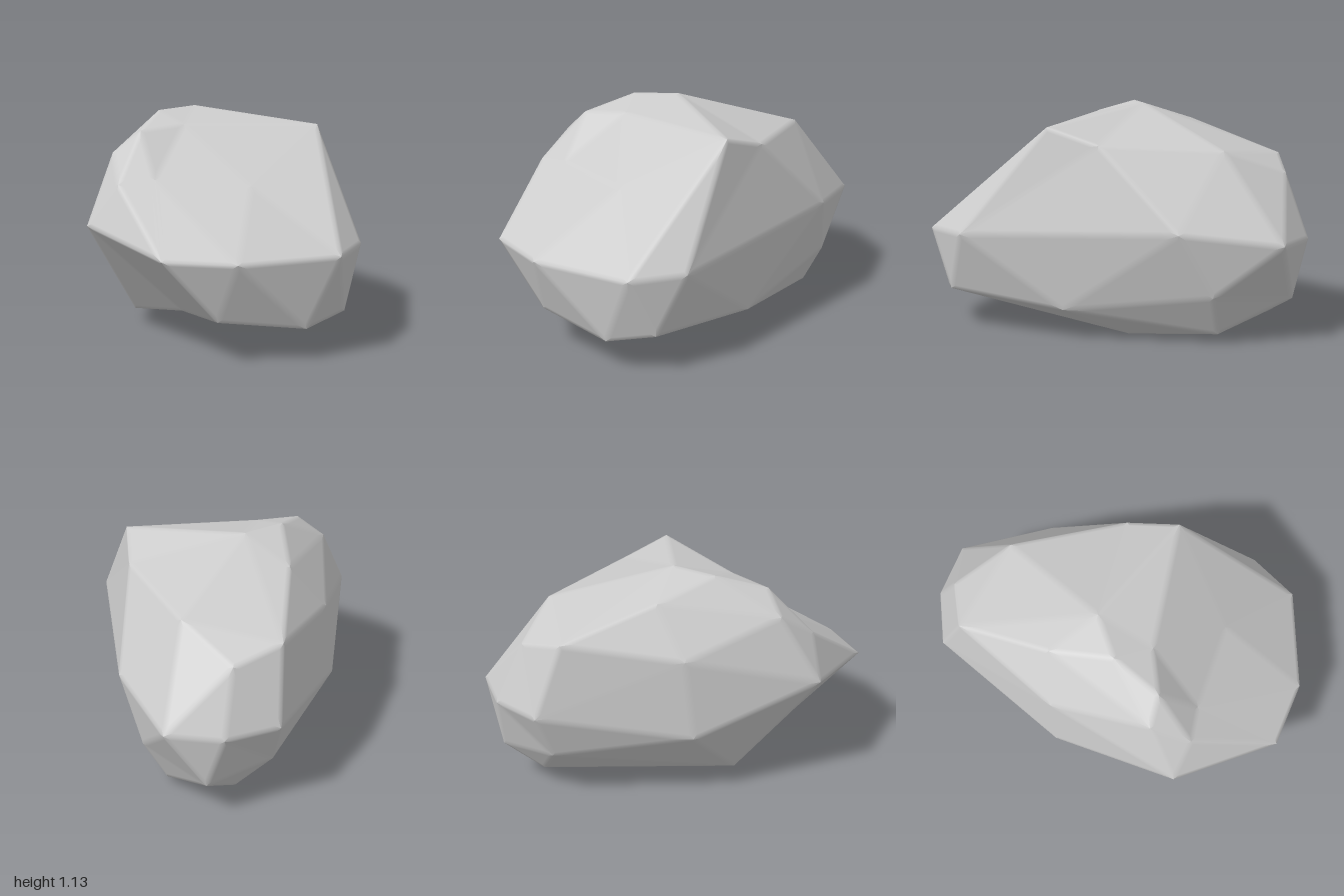
import * as THREE from 'three';
import { ConvexGeometry } from 'three/addons/geometries/ConvexGeometry.js';

// Corners of the boulder, in loops from the ground up (x, y, z)
const foot = [
  [0.4, 0, -0.13], [0.45, 0.05, -0.6], [0.13, 0.1, -0.79], [0.13, 0.03, -0.02], [-0.38, 0.08, 0.07],
];
const lower = [
  [0.55, 0.21, 0.78], [0.33, 0.16, 0.89], [-0.1, 0.21, 0.88], [-0.22, 0.2, 0.6],
  [-0.05, 0.27, -0.83], [0.29, 0.22, -0.94], [0.565, 0.26, -0.6], [0.62, 0.16, 0.15],
];
const girth = [
  [0.66, 0.52, 0.68], [0.49, 0.51, 0.91], [-0.03, 0.51, 1.0], [-0.37, 0.52, 0.91], [-0.66, 0.6, 0.4],
  [-0.47, 0.38, -0.25], [-0.07, 0.51, -0.93], [0.21, 0.51, -1.0], [0.49, 0.52, -0.93], [0.66, 0.58, -0.45],
];
const shoulder = [
  [0.55, 1.06, 0.25], [0.56, 0.98, -0.02], [0.36, 0.95, -0.6], [0.15, 0.83, -0.87], [-0.1, 0.89, -0.79],
  [-0.42, 0.79, -0.27], [-0.51, 0.94, 0.25], [-0.51, 0.81, 0.46], [-0.33, 0.83, 0.47], [0.13, 0.8, 0.56],
];
const crown = [
  [-0.03, 1.135, -0.08], [-0.24, 1.125, 0.03], [-0.22, 1.04, -0.3], [-0.37, 1.05, 0.27], [-0.14, 1.07, 0.21],
];

const EDGE = 0.02; // width of the softened strip along each edge

// Joins the corners: the hull of the corners pushed out to a near-sphere gives
// the triangles, which are then carried back to the true corners.
function findFaces(corners) {
  const puffed = corners.map((p) => {
    const q = new THREE.Vector3(p.x / 0.66, (p.y - 0.55) / 0.57, p.z);
    return q.multiplyScalar(Math.pow(q.length(), 0.2 - 1));
  });
  const pos = new ConvexGeometry(puffed).getAttribute('position');
  const v = new THREE.Vector3();
  const ids = [];
  for (let i = 0; i < pos.count; i++) {
    v.fromBufferAttribute(pos, i);
    let best = 0;
    puffed.forEach((q, k) => {
      if (q.distanceToSquared(v) < puffed[best].distanceToSquared(v)) best = k;
    });
    ids.push(best);
  }
  const faces = [];
  for (let i = 0; i < ids.length; i += 3) faces.push(ids.slice(i, i + 3));
  return faces;
}

// Flat facets whose rims lean toward the neighbouring facet, like worn edges
function facetGeometry(corners) {
  const faces = findFaces(corners);
  const key = (a, b) => (a < b ? `${a}-${b}` : `${b}-${a}`);
  const edgeNormals = {};
  const normals = faces.map((f) => {
    const n = new THREE.Triangle(...f.map((i) => corners[i])).getNormal(new THREE.Vector3());
    f.forEach((a, i) => {
      const k = key(a, f[(i + 1) % 3]);
      (edgeNormals[k] ??= new THREE.Vector3()).add(n);
    });
    return n;
  });
  Object.values(edgeNormals).forEach((n) => n.normalize());

  const position = [];
  const normal = [];
  const put = (p, n) => {
    position.push(p.x, p.y, p.z);
    normal.push(n.x, n.y, n.z);
  };
  faces.forEach((f, fi) => {
    const n = normals[fi];
    const p = f.map((i) => corners[i]);
    // inset triangle, moved toward the incentre
    const side = p.map((_, i) => p[(i + 1) % 3].distanceTo(p[(i + 2) % 3]));
    const around = side[0] + side[1] + side[2];
    const centre = new THREE.Vector3();
    p.forEach((q, i) => centre.addScaledVector(q, side[i] / around));
    const inradius = (2 * new THREE.Triangle(...p).getArea()) / around;
    const inner = p.map((q) => q.clone().lerp(centre, Math.min(0.5, EDGE / inradius)));
    inner.forEach((q) => put(q, n));
    // rim strips
    for (let i = 0; i < 3; i++) {
      const j = (i + 1) % 3;
      const e = edgeNormals[key(f[i], f[j])];
      put(p[i], e); put(p[j], e); put(inner[j], n);
      put(p[i], e); put(inner[j], n); put(inner[i], n);
    }
  });
  const geometry = new THREE.BufferGeometry();
  geometry.setAttribute('position', new THREE.Float32BufferAttribute(position, 3));
  geometry.setAttribute('normal', new THREE.Float32BufferAttribute(normal, 3));
  return geometry;
}

export function createModel() {
  const group = new THREE.Group();
  group.name = 'rock';
  const corners = [...foot, ...lower, ...girth, ...shoulder, ...crown].map((c) => new THREE.Vector3(...c));
  const boulder = new THREE.Mesh(
    facetGeometry(corners),
    new THREE.MeshStandardMaterial({ color: 0xcccccc })
  );
  boulder.name = 'boulder';
  group.add(boulder);
  return group;
}
